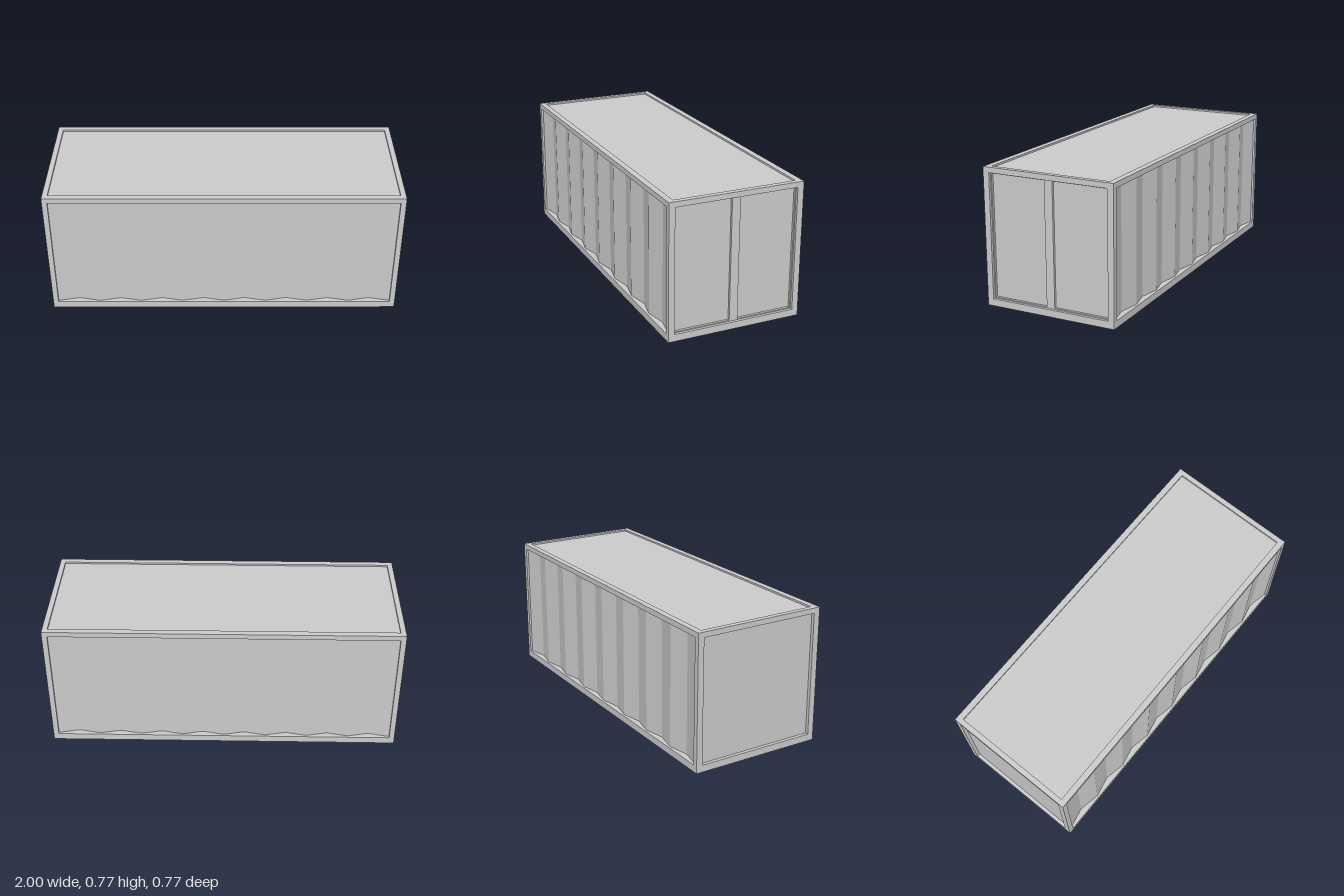
import * as THREE from 'three';

const material = new THREE.MeshStandardMaterial({ color: 0xcccccc, flatShading: true });

// Overall size and frame bar sizes
const H = 0.77, HX = 1, HZ = 0.385;
const POST_X = 0.03, POST_Z = 0.035, SILL = 0.04, LINTEL = 0.03;
const INX = HX - POST_X, INZ = HZ - POST_Z, TOP = H - LINTEL;

function add(parent, name, geometry) {
  const mesh = new THREE.Mesh(geometry, material);
  mesh.name = name;
  parent.add(mesh);
  return mesh;
}

// Box given by its minimum and maximum corners
function block(parent, name, [x0, y0, z0], [x1, y1, z1]) {
  const geometry = new THREE.BoxGeometry(x1 - x0, y1 - y0, z1 - z0);
  geometry.translate((x0 + x1) / 2, (y0 + y1) / 2, (z0 + z1) / 2);
  return add(parent, name, geometry);
}

function rectangle(PathType, x0, y0, x1, y1) {
  const path = new PathType();
  path.moveTo(x0, y0).lineTo(x1, y0).lineTo(x1, y1).lineTo(x0, y1).closePath();
  return path;
}

// Corner posts, sills and lintels
function createFrame() {
  const frame = new THREE.Group();
  frame.name = 'frame';
  const span = (side, inner, outer) => (side > 0 ? [inner, outer] : [-outer, -inner]);
  for (const s of [-1, 1]) {
    const [x0, x1] = span(s, INX, HX);
    const [z0, z1] = span(s, INZ, HZ);
    for (const t of [-1, 1]) {
      const [pz0, pz1] = span(t, INZ, HZ);
      block(frame, 'cornerPost', [x0, 0, pz0], [x1, H, pz1]);
    }
    for (const [name, y0, y1] of [['sill', 0, SILL], ['lintel', TOP, H]]) {
      block(frame, 'side' + name, [-INX, y0, z0], [INX, y1, z1]);
      block(frame, 'end' + name, [x0, y0, -INZ], [x1, y1, INZ]);
    }
  }
  return frame;
}

// Zigzag side wall, outer ridges just inside the frame
function corrugatedWall() {
  const folds = 16, outer = HZ - 0.012, inner = outer - 0.025, back = inner - 0.02;
  const shape = new THREE.Shape();
  shape.moveTo(-INX, -back);
  for (let i = 0; i <= folds; i++) {
    shape.lineTo(-INX + (2 * INX * i) / folds, -(i % 2 ? inner : outer));
  }
  shape.lineTo(INX, -back);
  const geometry = new THREE.ExtrudeGeometry(shape, { depth: TOP - SILL, bevelEnabled: false });
  return geometry.rotateX(-Math.PI / 2).translate(0, SILL, 0);
}

// Door end: thin surround with two sunken leaves
function createDoors() {
  const doors = new THREE.Group();
  doors.name = 'doors';
  const rim = 0.006, mullion = 0.024, face = HX - 0.016, leaf = HX - 0.03;
  const shape = rectangle(THREE.Shape, -INZ, SILL, INZ, TOP);
  for (const s of [-1, 1]) {
    const z0 = s > 0 ? mullion : -INZ + rim;
    const z1 = s > 0 ? INZ - rim : -mullion;
    shape.holes.push(rectangle(THREE.Path, z0, SILL + rim, z1, TOP - rim));
    block(doors, s > 0 ? 'leftDoor' : 'rightDoor',
      [leaf - 0.02, SILL + rim, z0], [leaf, TOP - rim, z1]);
  }
  const surround = new THREE.ExtrudeGeometry(shape, { depth: 0.034, bevelEnabled: false });
  surround.rotateY(Math.PI / 2).translate(face - 0.034, 0, 0);
  add(doors, 'doorSurround', surround);
  return doors;
}

export function createModel() {
  const container = new THREE.Group();
  container.name = 'shippingContainer';
  container.add(createFrame(), createDoors());

  // Long side walls
  const wall = corrugatedWall();
  add(container, 'frontWall', wall);
  add(container, 'backWall', wall).rotation.y = Math.PI;

  // Plain end wall, roof and floor, each set slightly into the frame
  block(container, 'endWall', [-0.98, SILL, -INZ], [-0.95, TOP, INZ]);
  block(container, 'roof', [-INX, TOP, -INZ], [INX, H - 0.01, INZ]);
  block(container, 'floor', [-INX, 0.012, -INZ], [INX, SILL, INZ]);
  return container;
}
